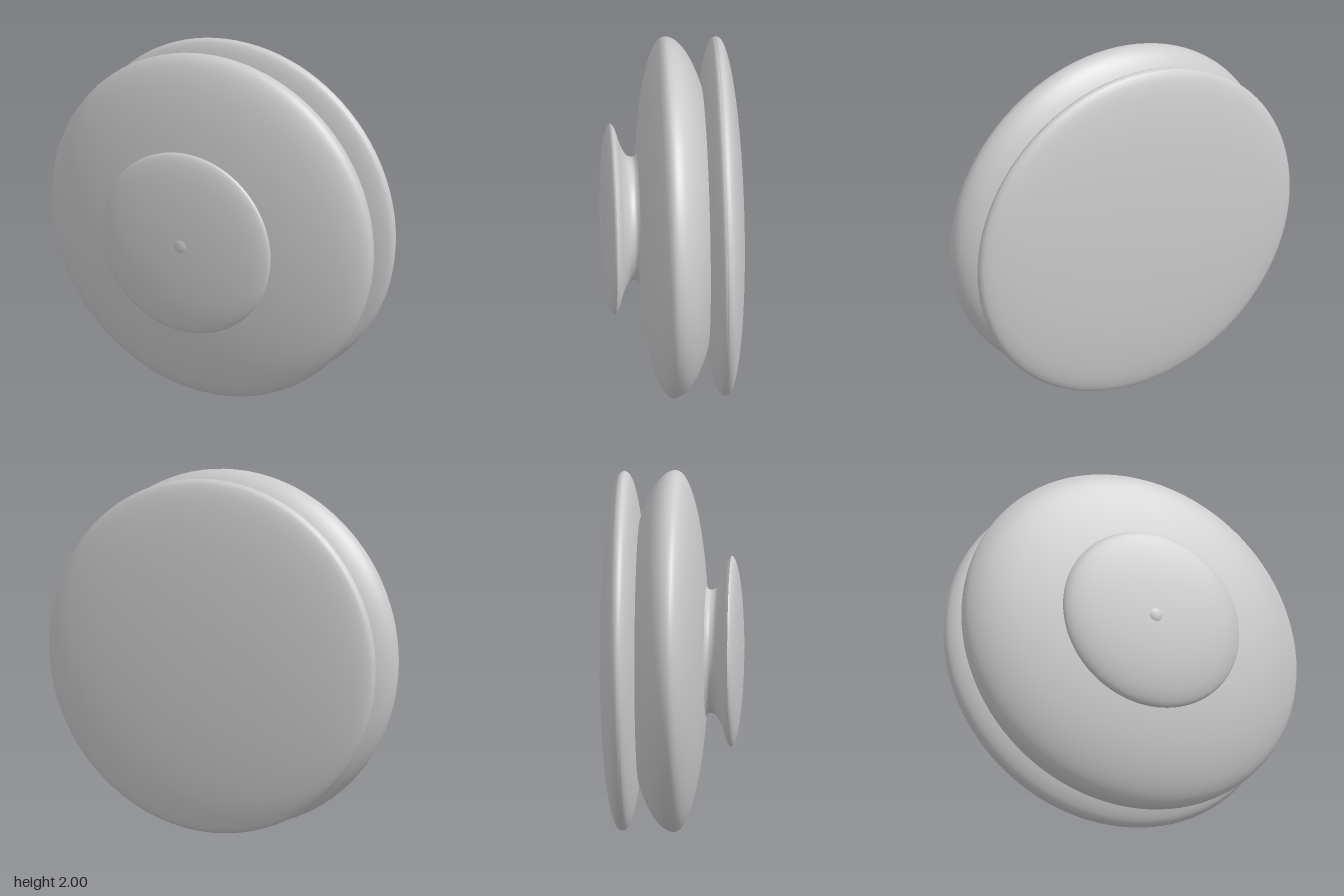
import * as THREE from 'three';

const MAT = new THREE.MeshStandardMaterial({ color: 0xcccccc });

// Points of an elliptical arc: radius r, depth b, centred at z, between two angles
function arc(r, b, z, from, to, n = 16) {
  return Array.from({ length: n + 1 }, (_, i) => {
    const a = from + (to - from) * i / n;
    return new THREE.Vector2(Math.max(0, r * Math.cos(a)), z + b * Math.sin(a));
  });
}

// Turned part around the z axis; the profile runs from back to front
function turned(name, points) {
  const geometry = new THREE.LatheGeometry(points, 96);
  geometry.rotateX(Math.PI / 2);
  const mesh = new THREE.Mesh(geometry, MAT);
  mesh.name = name;
  mesh.position.y = 1;
  return mesh;
}

export function createModel() {
  const group = new THREE.Group();
  group.name = 'spool';
  const q = Math.PI / 2;
  const groove = Math.acos(0.73);

  // Back disc: domed back, thin rim, sloped front down into the groove
  group.add(turned('backDiscDome', arc(0.99, 0.115, -0.28, -q, 0)));
  group.add(turned('backDiscRim', [
    new THREE.Vector2(0.99, -0.28), new THREE.Vector2(0.995, -0.27), new THREE.Vector2(0.99, -0.262),
  ]));
  group.add(turned('backDiscFront', arc(0.99, 0.122, -0.262, 0, groove)));

  // Main body: deeper curve at the back, shallower dome at the front
  group.add(turned('body', [
    ...arc(1, 0.285, 0.015, -groove, 0),
    ...arc(1, 0.185, 0.015, 0, q, 24).slice(1),
  ]));

  // Neck flaring out to the button rim
  const neck = new THREE.SplineCurve([
    [0.36, 0.188], [0.342, 0.205], [0.342, 0.225], [0.36, 0.25],
    [0.42, 0.28], [0.495, 0.303], [0.528, 0.325],
  ].map(([r, z]) => new THREE.Vector2(r, z)));
  group.add(turned('neck', neck.getPoints(24)));

  // Button dome and the small raised spot at its centre
  group.add(turned('button', arc(0.528, 0.07, 0.325, 0, q)));
  group.add(turned('buttonCentre', [
    new THREE.Vector2(0.037, 0.385), new THREE.Vector2(0.037, 0.397), new THREE.Vector2(0, 0.397),
  ]));

  return group;
}
